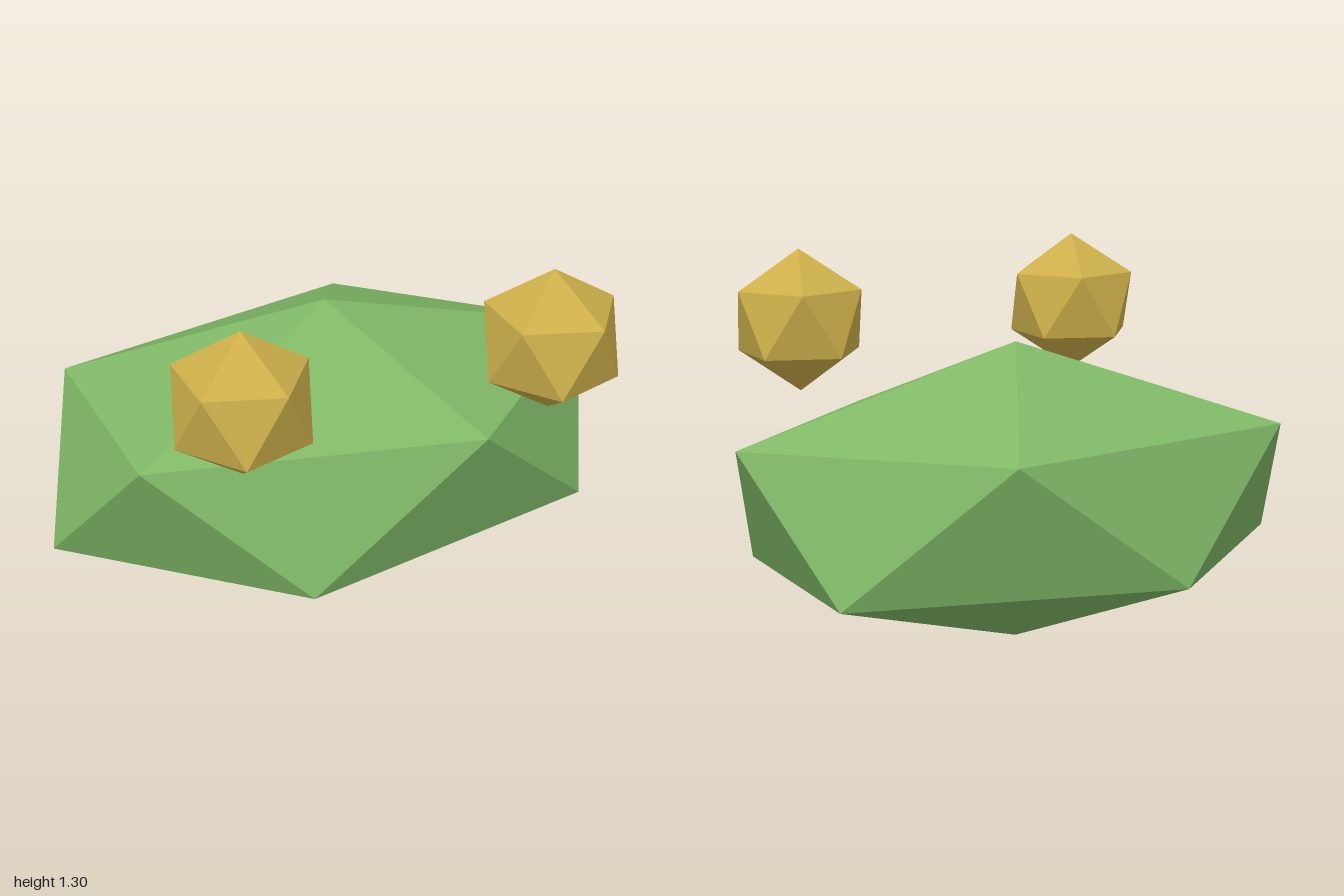
import * as THREE from 'three';

// Icosahedron standing on a point: two poles and two staggered rings of five
function poleIcosahedron(rx, ry, rz) {
  const ringY = 1 / Math.sqrt(5), ringR = 2 / Math.sqrt(5);
  const ring = (y, turn) => (k) => {
    const a = ((k + turn) * Math.PI * 2) / 5;
    return [ringR * Math.cos(a), y, ringR * Math.sin(a)];
  };
  const top = [0, 1, 0], bottom = [0, -1, 0];
  const upper = ring(ringY, 0), lower = ring(-ringY, 0.5);
  const points = [];
  for (let k = 0; k < 5; k++) {
    points.push(
      top, upper(k + 1), upper(k),
      upper(k), upper(k + 1), lower(k),
      lower(k), upper(k + 1), lower(k + 1),
      bottom, lower(k), lower(k + 1),
    );
  }
  const geometry = new THREE.BufferGeometry();
  geometry.setAttribute('position', new THREE.Float32BufferAttribute(points.flat(), 3));
  geometry.scale(rx, ry, rz);
  geometry.computeVertexNormals();
  return geometry;
}

export function createModel() {
  const model = new THREE.Group();
  const green = new THREE.MeshStandardMaterial({ color: 0x7fb866, flatShading: true });
  const yellow = new THREE.MeshStandardMaterial({ color: 0xccaf4a, flatShading: true });

  // Wide, flattened body
  const body = new THREE.Mesh(poleIcosahedron(1.118, 0.513, 0.744), green);
  body.name = 'body';
  body.position.set(0, 0.513, -0.094);
  model.add(body);

  // Two floating eyes, both turned the same way
  const eyeGeometry = poleIcosahedron(0.25, 0.25, 0.25);
  for (const side of [1, -1]) {
    const eye = new THREE.Mesh(eyeGeometry, yellow);
    eye.name = side > 0 ? 'leftEye' : 'rightEye';
    eye.position.set(side * 0.538, 1.053, 0.514);
    model.add(eye);
  }
  return model;
}
